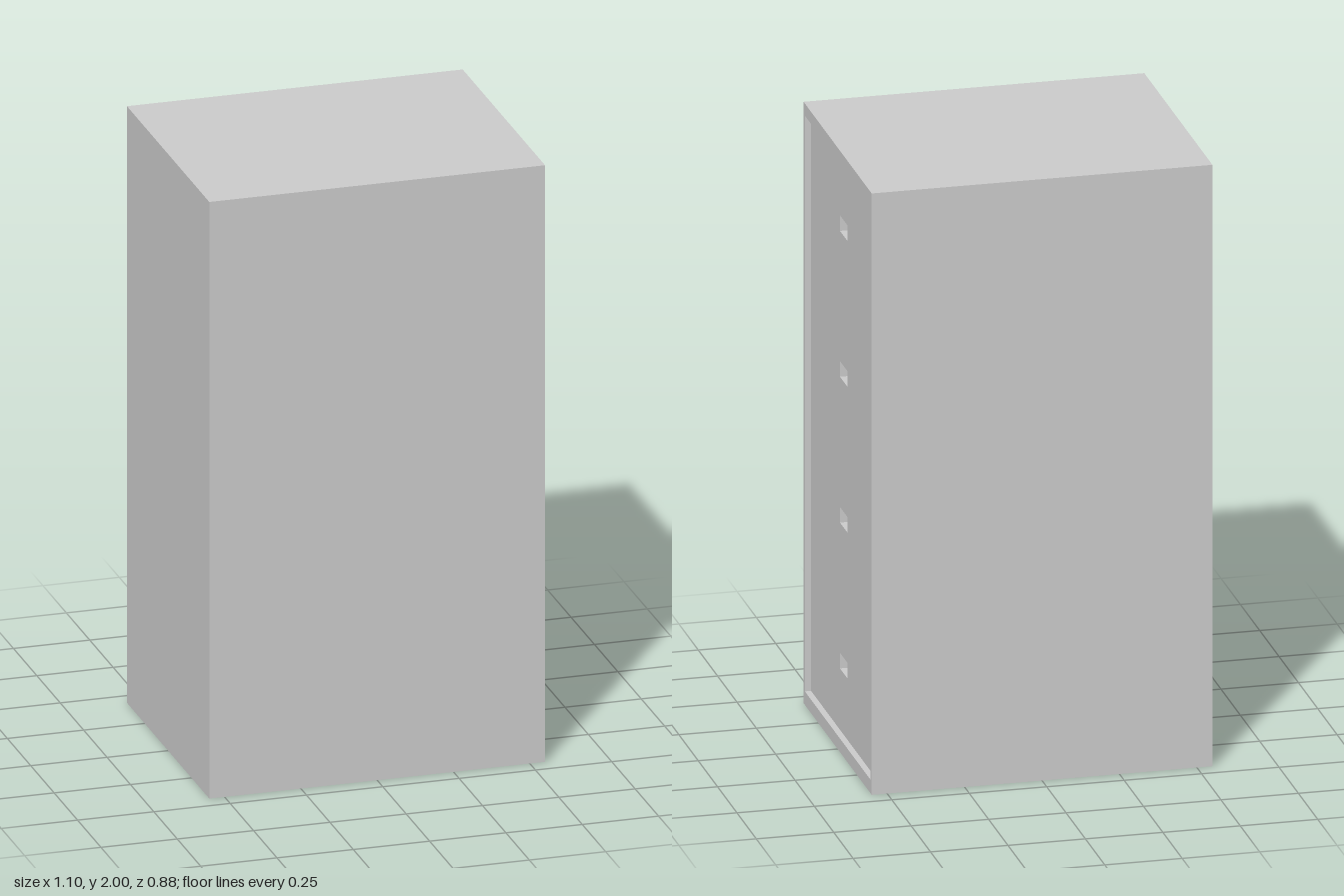
import * as THREE from 'three';

const WIDTH = 1.1, HEIGHT = 2, DEPTH = 0.88;
const INSET = 0.02, POCKET = 0.04;
const OPEN = { z: 0.423, y0: 0.045, y1: 1.96 };
const PULLS = [0.275, 0.76, 1.245, 1.73];

const material = new THREE.MeshStandardMaterial({ color: 0xcccccc });

// Rectangle outline in the plane of the drawer side
function rect(target, halfW, y0, y1) {
  target.moveTo(-halfW, y0);
  target.lineTo(halfW, y0);
  target.lineTo(halfW, y1);
  target.lineTo(-halfW, y1);
  target.closePath();
  return target;
}

// Extrudes a shape towards +x, from x0 to x1
function slab(name, shape, x0, x1) {
  const geometry = new THREE.ExtrudeGeometry(shape, { depth: x1 - x0, bevelEnabled: false });
  geometry.rotateY(Math.PI / 2).translate(x0, 0, 0);
  const mesh = new THREE.Mesh(geometry, material);
  mesh.name = name;
  return mesh;
}

export function createModel() {
  const group = new THREE.Group();
  group.name = 'filingCabinet';
  const face = WIDTH / 2;
  const panelFace = face - INSET;
  const pocketBack = panelFace - POCKET;

  // Casing: a full shell with an opening on the drawer side
  const frame = rect(new THREE.Shape(), DEPTH / 2, 0, HEIGHT);
  frame.holes.push(rect(new THREE.Path(), OPEN.z, OPEN.y0, OPEN.y1));
  group.add(slab('casingRim', frame, pocketBack, face));
  group.add(slab('casingBody', rect(new THREE.Shape(), DEPTH / 2, 0, HEIGHT), -face, pocketBack));

  // Recessed panel with four pull pockets
  const panel = rect(new THREE.Shape(), OPEN.z, OPEN.y0, OPEN.y1);
  for (const y of PULLS) {
    panel.holes.push(rect(new THREE.Path(), 0.05, y - 0.026, y + 0.026));
  }
  group.add(slab('drawerPanel', panel, pocketBack, panelFace));

  return group;
}
